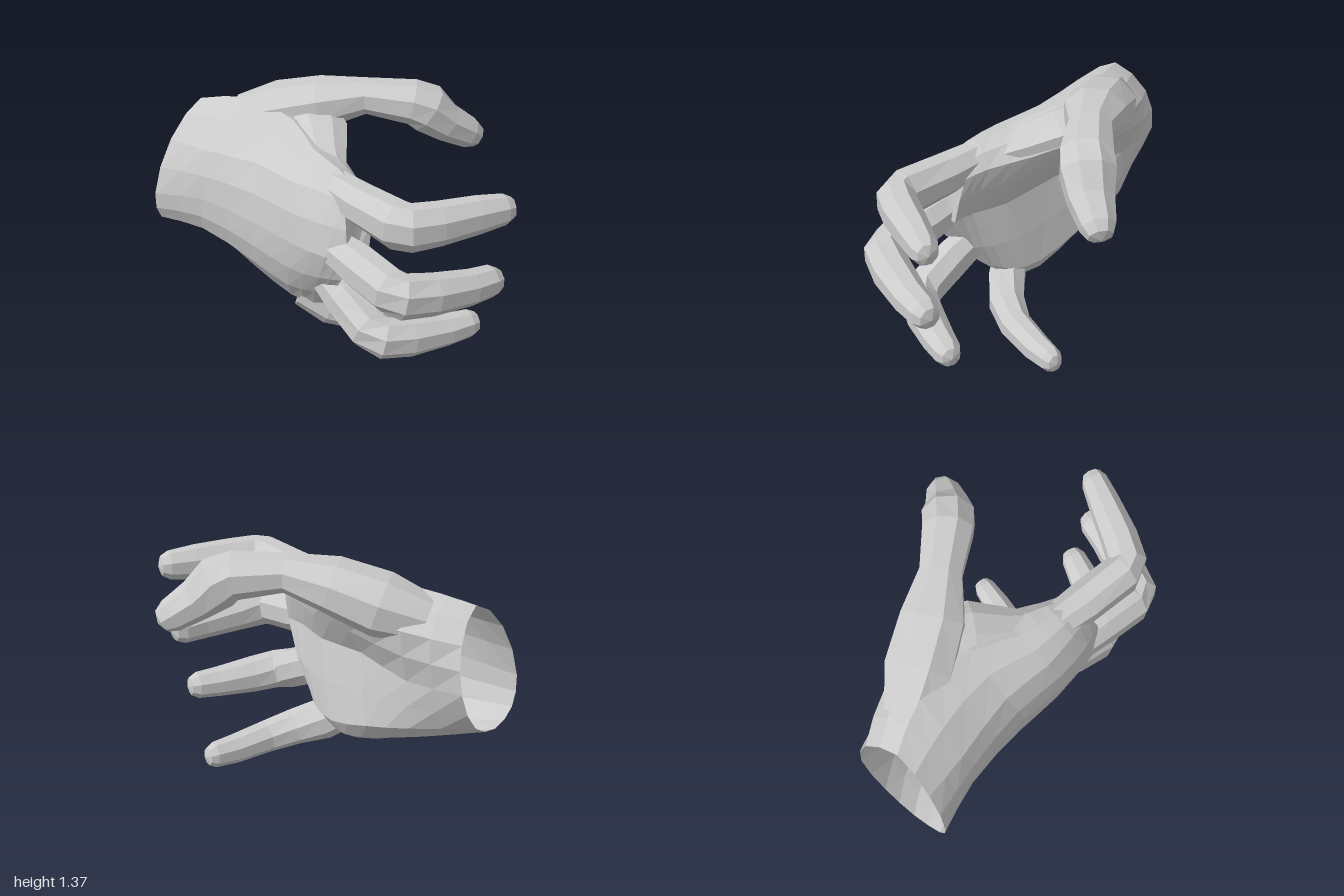
import * as THREE from 'three';

const V = (p) => new THREE.Vector3(p[0], p[1], p[2]);
const material = new THREE.MeshStandardMaterial({ color: 0xcccccc, flatShading: true, side: THREE.DoubleSide });

// Skin over a series of closed rings, closed at the far end by a centre point
function loft(name, rings, apex) {
  const n = rings[0].length, pos = [], index = [];
  [...rings, Array(n).fill(apex)].forEach((ring) => ring.forEach((p) => pos.push(p.x, p.y, p.z)));
  for (let i = 0; i < rings.length; i++) {
    for (let j = 0; j < n; j++) {
      const k = (j + 1) % n, a = i * n + j, b = i * n + k, c = a + n, d = b + n;
      index.push(a, b, c);
      if (i < rings.length - 1) index.push(b, d, c);
    }
  }
  const g = new THREE.BufferGeometry();
  g.setAttribute('position', new THREE.Float32BufferAttribute(pos, 3));
  g.setIndex(index);
  g.computeVertexNormals();
  const mesh = new THREE.Mesh(g, material);
  mesh.name = name;
  return mesh;
}

// Tapered digit; each joint is [x, y, z, half width, half height]
function digit(name, joints, sides = 8) {
  const pts = joints.map(V);
  const dir = (i) => pts[Math.min(i + 1, pts.length - 1)].clone()
    .sub(pts[Math.max(i - 1, 0)]).normalize();
  const ring = (c, t, w, h) => {
    const side = new THREE.Vector3().crossVectors(t, new THREE.Vector3(0, 1, 0)).normalize();
    const up = new THREE.Vector3().crossVectors(side, t);
    return Array.from({ length: sides }, (_, j) => {
      const a = ((j + 0.5) / sides) * Math.PI * 2;
      return c.clone().addScaledVector(side, Math.cos(a) * w).addScaledVector(up, -Math.sin(a) * h);
    });
  };
  const rings = joints.map((q, i) => ring(pts[i], dir(i), q[3], q[4]));
  // rounded fingertip
  const last = joints.length - 1, t = dir(last), [, , , w, h] = joints[last];
  rings.push(ring(pts[last].clone().addScaledVector(t, w * 0.6), t, w * 0.7, h * 0.7));
  return loft(name, rings, pts[last].clone().addScaledVector(t, w * 0.85));
}

// Cross-sections from wrist to finger webs: top edge, back of hand, bottom edge, palm
const sections = [
  [[-0.74, 1.19, -0.56], [-0.9, 1.0, -0.4], [-1, 0.68, -0.33], [-0.98, 0.51, -0.37],
    [-0.88, 0.46, -0.52], [-0.76, 0.55, -0.68], [-0.67, 0.8, -0.79], [-0.66, 1.05, -0.74]],
  [[-0.46, 1.24, -0.46], [-0.68, 1.0, -0.24], [-0.7, 0.72, -0.18], [-0.72, 0.5, -0.25],
    [-0.6, 0.39, -0.47], [-0.42, 0.5, -0.6], [-0.4, 0.78, -0.6], [-0.36, 1.09, -0.66]],
  [[-0.18, 1.2, -0.22], [-0.37, 1.02, -0.03], [-0.38, 0.7, 0.07], [-0.42, 0.42, -0.03],
    [-0.38, 0.26, -0.28], [-0.2, 0.38, -0.37], [-0.17, 0.75, -0.22], [-0.07, 1.07, -0.4]],
  [[-0.06, 1.14, 0.03], [-0.18, 1.02, 0.18], [-0.16, 0.7, 0.3], [-0.2, 0.36, 0.15],
    [-0.15, 0.15, -0.1], [-0.01, 0.28, -0.14], [0.05, 0.7, 0.05], [0.1, 1.03, -0.1]],
  [[0.08, 1.11, 0.21], [-0.01, 1.02, 0.31], [0.02, 0.7, 0.44], [-0.05, 0.38, 0.25],
    [-0.03, 0.17, 0.05], [0.08, 0.28, 0.01], [0.16, 0.7, 0.23], [0.19, 1.0, 0.14]],
  [[0.17, 1.05, 0.32], [0.12, 0.99, 0.39], [0.14, 0.7, 0.47], [0.06, 0.41, 0.32],
    [0.04, 0.25, 0.12], [0.12, 0.33, 0.12], [0.25, 0.7, 0.32], [0.25, 0.97, 0.26]],
];

function palm() {
  const around = 16, along = 10;
  const loops = sections.map((s) => {
    const curve = new THREE.CatmullRomCurve3(s.map(V), true);
    return Array.from({ length: around }, (_, j) => curve.getPoint(j / around));
  });
  const columns = Array.from({ length: around }, (_, j) =>
    new THREE.CatmullRomCurve3(loops.map((l) => l[j])));
  const rings = Array.from({ length: along + 1 }, (_, i) => columns.map((c) => c.getPoint(i / along)));
  return loft('palm', rings, new THREE.Vector3(0.18, 0.67, 0.36));
}

export function createModel() {
  const hand = new THREE.Group();
  hand.name = 'hand';
  hand.add(palm());
  hand.add(digit('indexFinger', [
    [0.06, 1.0, 0.2, 0.1, 0.1], [0.2, 0.98, 0.36, 0.115, 0.115], [0.39, 0.965, 0.57, 0.115, 0.135],
    [0.46, 0.965, 0.6, 0.11, 0.13], [0.6, 0.97, 0.555, 0.105, 0.12], [0.8, 0.98, 0.47, 0.09, 0.105],
    [0.94, 0.985, 0.41, 0.075, 0.085]]));
  hand.add(digit('middleFinger', [
    [0.07, 0.71, 0.345, 0.1, 0.1], [0.2, 0.67, 0.475, 0.115, 0.125], [0.36, 0.63, 0.655, 0.115, 0.125],
    [0.43, 0.615, 0.69, 0.11, 0.125], [0.58, 0.595, 0.625, 0.11, 0.115], [0.78, 0.575, 0.51, 0.095, 0.1],
    [0.89, 0.57, 0.43, 0.085, 0.09]]));
  hand.add(digit('ringFinger', [
    [0.0, 0.48, 0.2, 0.09, 0.1], [0.12, 0.39, 0.34, 0.105, 0.12], [0.25, 0.29, 0.48, 0.11, 0.12],
    [0.34, 0.26, 0.525, 0.11, 0.115], [0.48, 0.245, 0.48, 0.105, 0.11], [0.68, 0.24, 0.39, 0.09, 0.09],
    [0.8, 0.245, 0.33, 0.075, 0.08]]));
  hand.add(digit('littleFinger', [
    [-0.12, 0.27, 0.03, 0.1, 0.1], [0.04, 0.185, 0.05, 0.11, 0.12], [0.2, 0.135, 0.045, 0.105, 0.105],
    [0.36, 0.1, -0.01, 0.09, 0.095], [0.54, 0.085, -0.13, 0.08, 0.085], [0.65, 0.09, -0.21, 0.065, 0.075]]));
  // thumb, starting inside the heel of the hand
  hand.add(digit('thumb', [
    [-0.5, 1.09, -0.53, 0.13, 0.13], [-0.27, 1.155, -0.48, 0.19, 0.17],
    [-0.02, 1.235, -0.42, 0.18, 0.145], [0.22, 1.285, -0.39, 0.12, 0.1], [0.48, 1.26, -0.37, 0.145, 0.125],
    [0.57, 1.22, -0.375, 0.15, 0.14], [0.68, 1.13, -0.39, 0.125, 0.11], [0.81, 1.055, -0.425, 0.095, 0.09]]));
  // skin between thumb and index finger
  hand.add(digit('thumbWeb', [
    [-0.08, 1.19, -0.4, 0.14, 0.06], [-0.03, 1.14, -0.23, 0.16, 0.08],
    [0.0, 1.07, -0.04, 0.13, 0.07], [0.05, 1.03, 0.1, 0.08, 0.05]]));
  return hand;
}
